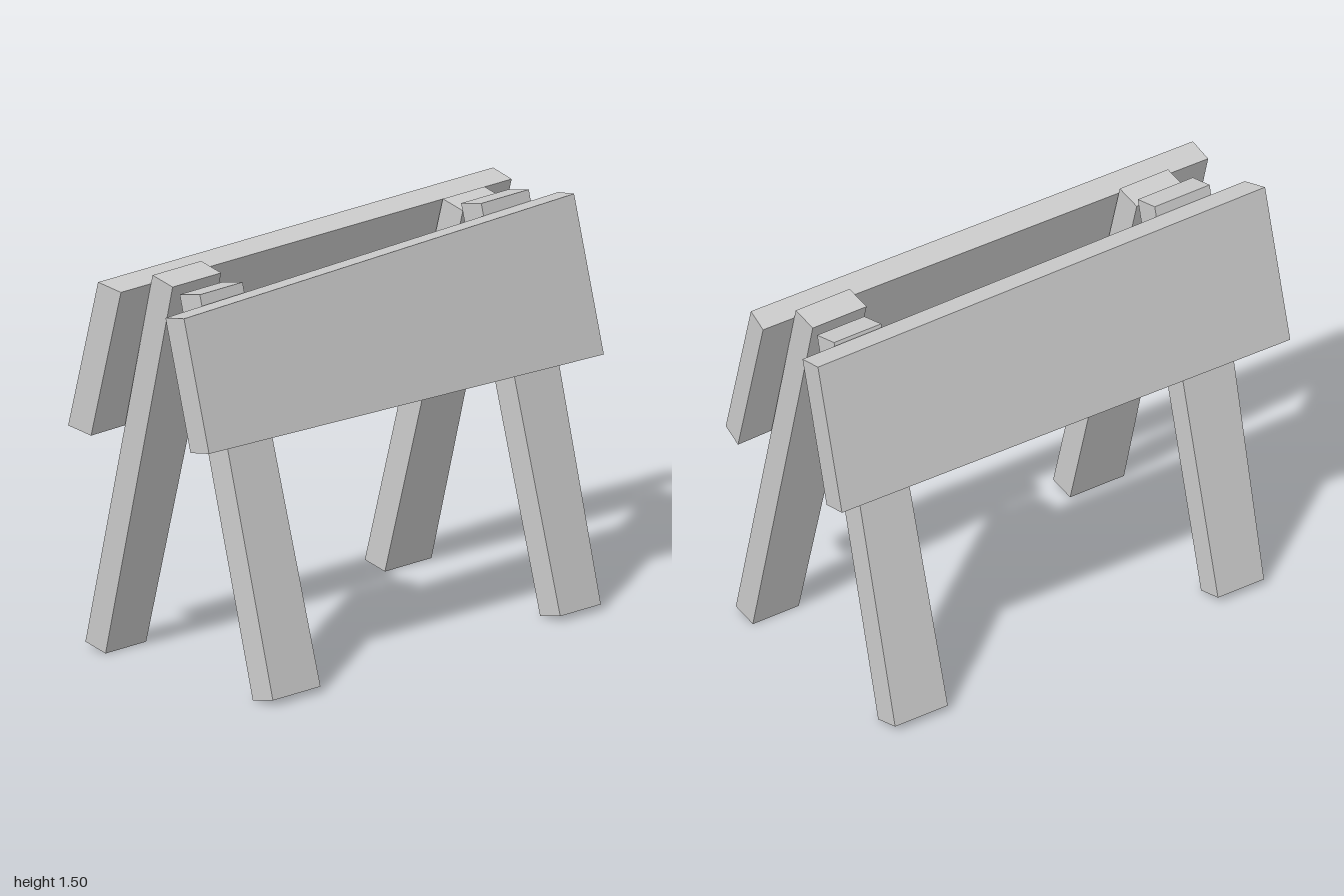
import * as THREE from 'three';

const material = new THREE.MeshStandardMaterial({ color: 0xcccccc, flatShading: true });

// Box whose eight corners are placed by a rule: corner(right, top, outer) -> [x, y, z].
// side is +1 for the front frame and -1 for the back; z is given as distance from the middle.
function plank(name, side, corner) {
  const geometry = new THREE.BoxGeometry(1, 1, 1);
  const p = geometry.attributes.position;
  for (let i = 0; i < p.count; i++) {
    const [x, y, z] = corner(p.getX(i) > 0, p.getY(i) > 0, p.getZ(i) * side > 0);
    p.setXYZ(i, x, y, z * side);
  }
  geometry.computeVertexNormals();
  const mesh = new THREE.Mesh(geometry, material);
  mesh.name = name;
  return mesh;
}

// Leaning leg, slightly tapered: x ranges at the top and the foot, height of the inner top edge
function leg(name, side, topX, footX, topY) {
  return plank(name, side, (right, top, outer) => [
    (top ? topX : footX)[right ? 1 : 0],
    (top ? topY : 0) + (outer ? 0.022 : 0),
    (top ? 0.003 : 0.387) + (outer ? 0.103 : 0),
  ]);
}

// Leaning board: each end gives the heights of its inner top and bottom edges
function board(name, side, leftEnd, rightEnd) {
  return plank(name, side, (right, top, outer) => {
    const end = right ? rightEnd : leftEnd;
    const y = top ? end.top : end.bottom;
    const x = outer ? end.outerX : end.innerX;
    const z = 0.118 + (1.458 - y) * 0.267; // the inner face lies against the legs
    return [x, y + (outer ? 0.02 : 0), z + (outer ? 0.1 : 0)];
  });
}

export function createModel() {
  const model = new THREE.Group();
  model.name = 'barricade';

  // Four legs, leaning together at the top
  model.add(
    leg('frontLeftLeg', 1, [0.62, 0.86], [0.64, 0.845], 1.473),
    leg('frontRightLeg', 1, [-0.8, -0.585], [-0.81, -0.57], 1.44),
    leg('backLeftLeg', -1, [0.635, 0.845], [0.62, 0.855], 1.44),
    leg('backRightLeg', -1, [-0.83, -0.585], [-0.79, -0.585], 1.473),
  );

  // Two uneven boards fixed to the outer faces of the legs
  model.add(
    board('frontBoard', 1,
      { innerX: -0.995, outerX: -1, top: 1.422, bottom: 0.942 },
      { innerX: 0.997, outerX: 0.978, top: 1.458, bottom: 0.887 }),
    board('backBoard', -1,
      { innerX: -0.978, outerX: -0.995, top: 1.46, bottom: 0.887 },
      { innerX: 0.995, outerX: 1, top: 1.455, bottom: 0.908 }),
  );
  return model;
}
